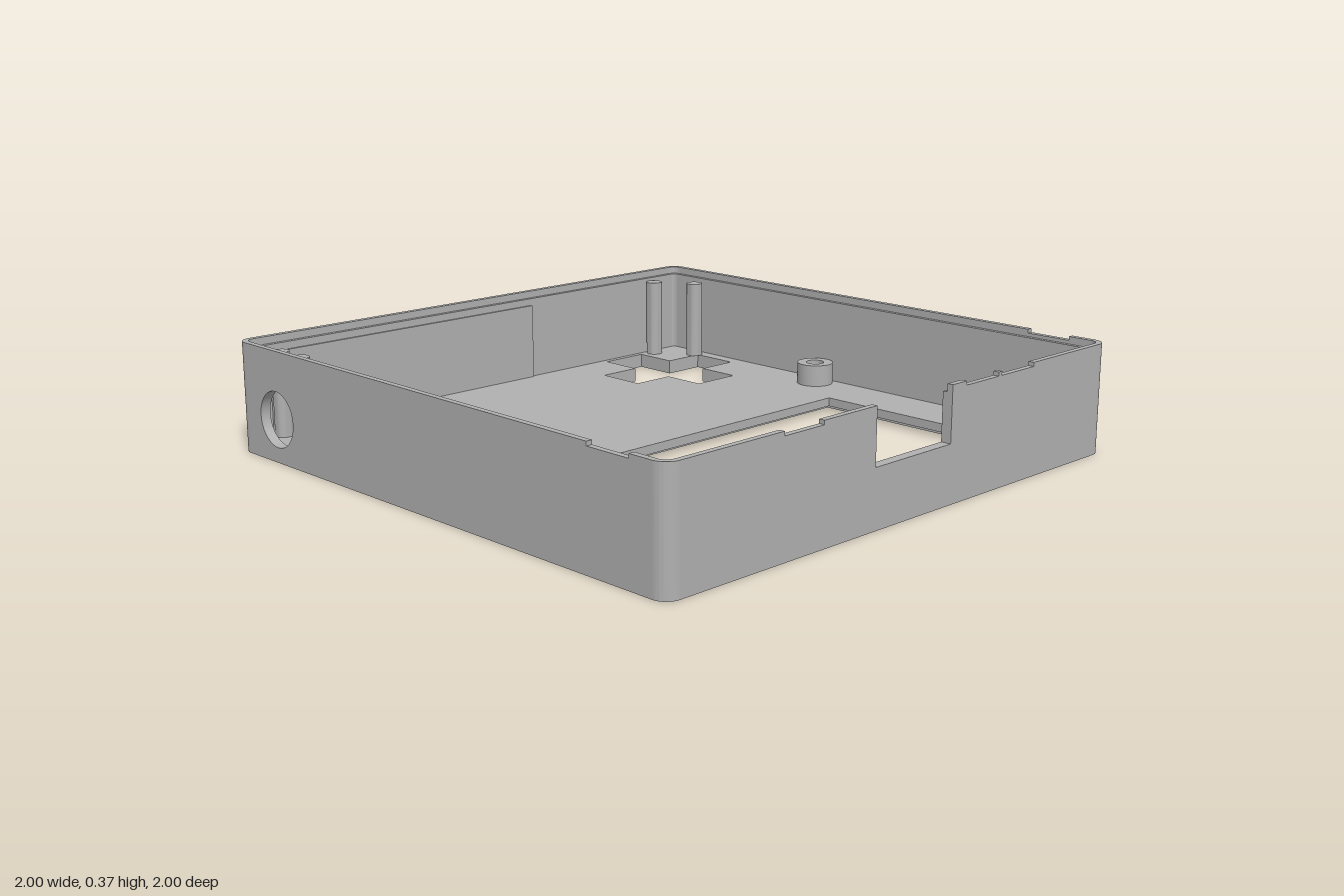
import * as THREE from 'three';
import { toCreasedNormals } from 'three/addons/utils/BufferGeometryUtils.js';

const FLOOR = 0.05, STEP = 0.345, TOP = 0.37, DIP = 0.357, R = 0.05, C = 1 - R;

export function createModel() {
  const model = new THREE.Group();
  model.name = 'enclosureShell';
  const grey = new THREE.MeshStandardMaterial({ color: 0xb0b0b0 });
  grey.name = 'grey plastic';

  const add = (name, geometry, parent = model) => {
    const mesh = new THREE.Mesh(toCreasedNormals(geometry, 0.6), grey);
    mesh.name = name;
    parent.add(mesh);
    return mesh;
  };
  const poly = (pts, Type = THREE.Shape) => new Type(pts.map(([x, y]) => new THREE.Vector2(x, y)));
  // Plan shapes are drawn in (x, -z) and raised from y0 to y1
  const slab = (shape, y0, y1) =>
    new THREE.ExtrudeGeometry(shape, { depth: y1 - y0, bevelEnabled: false, curveSegments: 10 })
      .rotateX(-Math.PI / 2).translate(0, y0, 0);
  const rect = (x0, x1, z0, z1) =>
    poly([[x0, -z0], [x1, -z0], [x1, -z1], [x0, -z1]], THREE.Path);

  // Floor: two layers, the lower one with a wider opening that forms a recess
  const cross = () => poly([
    [0.58, 0.945], [0.763, 0.945], [0.763, 0.785], [0.918, 0.785], [0.918, 0.605], [0.763, 0.605],
    [0.763, 0.445], [0.58, 0.445], [0.58, 0.605], [0.422, 0.605], [0.422, 0.785], [0.58, 0.785],
  ], THREE.Path);
  const floor = (window) => {
    const s = new THREE.Shape(), a = 0.965, r = 0.015;
    s.absarc(a - r, a - r, r, 0, Math.PI / 2);
    s.absarc(r - a, a - r, r, Math.PI / 2, Math.PI);
    s.absarc(r - a, r - a, r, Math.PI, Math.PI * 1.5);
    s.absarc(a - r, r - a, r, Math.PI * 1.5, Math.PI * 2);
    s.holes.push(window, cross());
    return s;
  };
  add('floorOuterFace', slab(floor(rect(-0.8, 0.8, -0.01, 0.855)), 0, 0.02));
  add('floorInnerFace', slab(floor(rect(-0.763, 0.76, 0.03, 0.815)), 0.02, FLOOR));

  // Walls: notches are [from, to, bottom] along the wall; hole is [u, y, radius]
  const panel = (top, notches, hole) => {
    const pts = [[-C, 0], [C, 0], [C, top]];
    [...notches].filter((n) => n[2] < top).sort((a, b) => b[0] - a[0])
      .forEach(([u0, u1, y]) => pts.push([u1, top], [u1, y], [u0, y], [u0, top]));
    pts.push([-C, top]);
    const s = poly(pts);
    if (hole) s.holes.push(new THREE.Path().absarc(...hole, 0, Math.PI * 2, true));
    return s;
  };
  const walls = [
    ['frontWall', 0, [[-0.175, 0.172, 0.19], [-0.56, -0.4, DIP], [0.24, 0.4, DIP], [0.417, 0.583, DIP]]],
    ['leftWall', Math.PI / 2, [[-0.865, -0.705, DIP]]],
    ['backWall', Math.PI, []],
    ['rightWall', -Math.PI / 2, [[0.705, 0.865, DIP]], [-0.78, 0.144, 0.093]],
  ];
  for (const [name, turn, notches, hole] of walls) {
    const wall = new THREE.Group();
    wall.name = name;
    wall.rotation.y = turn;
    for (const [part, top, z, depth] of [['Skin', TOP, 0.98, 0.02], ['Lining', STEP, 0.965, 0.015]]) {
      add(name + part, new THREE.ExtrudeGeometry(panel(top, notches, hole),
        { depth, bevelEnabled: false, curveSegments: 24 }).translate(0, 0, z), wall);
    }
    // Rounded corner at one end of each wall, stepped at the rim
    for (const [part, y0, y1, inner] of [['Corner', 0, STEP, 0.015], ['CornerLip', STEP, TOP, 0.03]]) {
      const s = new THREE.Shape();
      s.absarc(C, -C, R, -Math.PI / 2, 0);
      s.absarc(C, -C, inner, 0, -Math.PI / 2, true);
      s.closePath();
      add(name + part, slab(s, y0, y1), wall);
    }
    model.add(wall);
  }

  // Thin raised panel on the inside of the back wall
  add('backInnerPanel', new THREE.BoxGeometry(1.12, 0.32 - FLOOR, 0.008)
    .translate(-0.34, (0.32 + FLOOR) / 2, -0.961));

  // Screw bosses with blind holes
  const bossProfile = [[0.065, FLOOR], [0.065, 0.127], [0.032, 0.127], [0.032, 0.056], [0, 0.056]]
    .map(([x, y]) => new THREE.Vector2(x, y));
  for (const x of [-0.9, 0.9]) for (const z of [-0.16, 0.87]) {
    add('screwBoss', new THREE.LatheGeometry(bossProfile, 32)).position.set(x, 0, z);
  }

  // Tall locating pins
  for (const [x, z] of [[-0.9, -0.9], [-0.9, -0.78], [0.82, -0.93], [0.913, -0.8]]) {
    add('locatingPin', new THREE.CylinderGeometry(0.03, 0.03, 0.335 - FLOOR, 24))
      .position.set(x, (0.335 + FLOOR) / 2, z);
  }
  return model;
}
